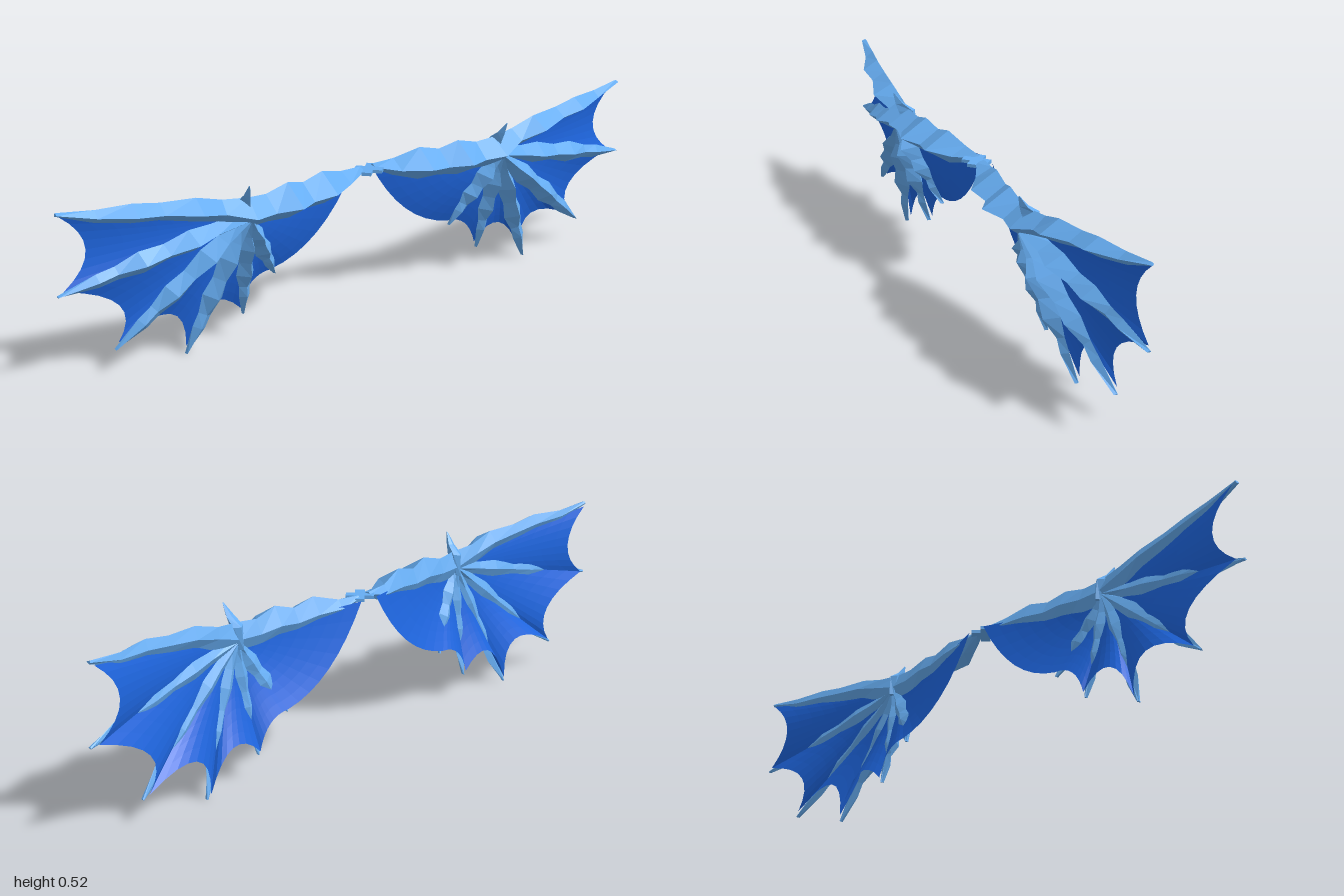
import * as THREE from 'three';

const boneMat = new THREE.MeshStandardMaterial({ color: 0x66adf2, flatShading: true });
const skinMat = new THREE.MeshStandardMaterial({ color: 0x1e66e0, flatShading: true, side: THREE.DoubleSide });

const WRIST = [0.445, 0.405];
// Finger tips below the leading edge, outermost first
const TIPS = [[0.995, 0.277], [0.835, 0.075], [0.615, 0.0], [0.425, 0.075], [0.315, 0.175]];
// Domed depth of the wing skin: t = 0 at the wrist, 1 at the rim
const skinZ = (t) => -0.005 - 0.07 * Math.pow(t, 1.7);
const along = (tip, t) => [0, 1].map((k) => THREE.MathUtils.lerp(WRIST[k], tip[k], t));

function makeMesh(name, positions, index, material) {
  const g = new THREE.BufferGeometry();
  g.setAttribute('position', new THREE.Float32BufferAttribute(positions, 3));
  g.setIndex(index);
  const flat = g.toNonIndexed();
  flat.computeVertexNormals();
  const mesh = new THREE.Mesh(flat, material);
  mesh.name = name;
  return mesh;
}

// Diamond-section bone through stations [x, y, half width, front z, back z];
// the side corners sit near the back
function bone(name, stations, side) {
  const pts = stations.map(([x, y, ...rest]) => [x * side, y, ...rest]);
  const pos = [], idx = [], n = pts.length;
  pts.forEach(([x, y, w, front, back], i) => {
    const a = pts[Math.max(i - 1, 0)], b = pts[Math.min(i + 1, n - 1)];
    const dir = new THREE.Vector2(b[0] - a[0], b[1] - a[1]).normalize();
    const ux = -dir.y * w, uy = dir.x * w, mid = THREE.MathUtils.lerp(back, front, 0.25);
    pos.push(x + ux, y + uy, mid, x, y, front, x - ux, y - uy, mid, x, y, back);
  });
  for (let i = 0; i < n - 1; i++) {
    for (let j = 0; j < 4; j++) {
      const a = i * 4 + j, b = i * 4 + (j + 1) % 4;
      idx.push(a, b, a + 4, b, b + 4, a + 4);
    }
  }
  const e = (n - 1) * 4;
  idx.push(0, 2, 1, 0, 3, 2, e, e + 1, e + 2, e, e + 2, e + 3);
  return makeMesh(name, pos, idx, boneMat);
}

// Knobbly finger from the wrist to a tip: [t, half width, front offset, back offset];
// its back shows through the skin up to the second knuckle
const FINGER = [
  [0, 0.014, 0.045, 0.012], [0.18, 0.022, 0.036, 0.013], [0.3, 0.033, 0.052, 0.018],
  [0.44, 0.025, 0.034, 0.012], [0.57, 0.034, 0.039, 0.013], [0.7, 0.021, 0.018, 0.002],
  [0.8, 0.021, 0.024, 0.0], [1, 0.003, 0.017, -0.005],
];
function finger(tip, side) {
  const len = Math.hypot(tip[0] - WRIST[0], tip[1] - WRIST[1]);
  const k = THREE.MathUtils.clamp(len / 0.4, 0.85, 1);
  return bone('finger', FINGER.map(([t, w, f, b]) => [
    ...along(tip, t), w * k, skinZ(t) + f, skinZ(t) - b,
  ]), side);
}

// Scalloped skin fanned out from the wrist, stopping just short of the finger tips
function membrane(side) {
  const corners = [[0.975, 0.503], ...TIPS.map((tip) => along(tip, 0.96)), [0.03, 0.434]];
  const mids = [[0.9, 0.39], [0.81, 0.2], [0.655, 0.132], [0.525, 0.13], [0.387, 0.16], [0.16, 0.262]];
  const rim = [];
  mids.forEach((m, i) => {
    const a = corners[i], b = corners[i + 1];
    // Control point makes the curve pass through the middle point
    const c = [0, 1].map((k) => 2 * m[k] - (a[k] + b[k]) / 2);
    const curve = new THREE.QuadraticBezierCurve(
      new THREE.Vector2(...a), new THREE.Vector2(...c), new THREE.Vector2(...b));
    const pts = curve.getPoints(8);
    rim.push(...(i ? pts.slice(1) : pts));
  });
  const rings = 9, pos = [], idx = [], n = rim.length;
  for (let r = 0; r <= rings; r++) {
    const t = r / rings;
    for (const p of rim) {
      const [x, y] = along([p.x, p.y], t);
      pos.push(side * x, y, skinZ(t));
    }
  }
  for (let r = 0; r < rings; r++) {
    for (let i = 0; i < n - 1; i++) {
      const a = r * n + i, b = a + 1, c = a + n, d = c + 1;
      const quad = side > 0 ? [a, d, c, a, b, d] : [a, c, d, a, d, b];
      idx.push(...(r ? quad : quad.slice(0, 3)));
    }
  }
  return makeMesh('membrane', pos, idx, skinMat);
}

function wing(side) {
  const g = new THREE.Group();
  g.name = side > 0 ? 'leftWing' : 'rightWing';
  g.add(membrane(side));

  // Arm and leading finger in one run along the top
  g.add(bone('leadingEdge', [
    [0.02, 0.437, 0.007, -0.03, -0.06], [0.09, 0.422, 0.026, 0.005, -0.062],
    [0.17, 0.422, 0.05, 0.055, -0.05], [0.24, 0.413, 0.041, 0.042, -0.04],
    [0.3, 0.418, 0.054, 0.08, -0.034], [0.37, 0.41, 0.042, 0.048, -0.026],
    [0.44, 0.412, 0.046, 0.062, -0.022], [0.52, 0.435, 0.032, 0.03, -0.024],
    [0.6, 0.457, 0.034, 0.05, -0.03], [0.7, 0.47, 0.025, 0.015, -0.038],
    [0.78, 0.481, 0.028, 0.015, -0.046], [0.88, 0.488, 0.018, -0.03, -0.062],
    [0.985, 0.512, 0.005, -0.057, -0.073],
  ], side));

  for (const tip of TIPS) g.add(finger(tip, side));

  // Thumb claw rising from the wrist
  g.add(bone('thumbClaw', [
    [0.44, 0.385, 0.008, 0.01, -0.032], [0.443, 0.45, 0.017, 0.028, -0.026],
    [0.447, 0.475, 0.012, 0.036, 0.01], [0.452, 0.508, 0.002, 0.042, 0.038],
  ], side));
  return g;
}

export function createModel() {
  const model = new THREE.Group();
  model.name = 'wings';
  for (const side of [1, -1]) {
    model.add(wing(side));
    // Crossed bars joining the two wings
    const bar = new THREE.Mesh(new THREE.BoxGeometry(0.082, 0.01, 0.028), boneMat);
    bar.name = 'joint';
    bar.position.set(0, 0.434, -0.038);
    bar.rotation.y = side * Math.PI / 4;
    model.add(bar);
  }
  return model;
}
